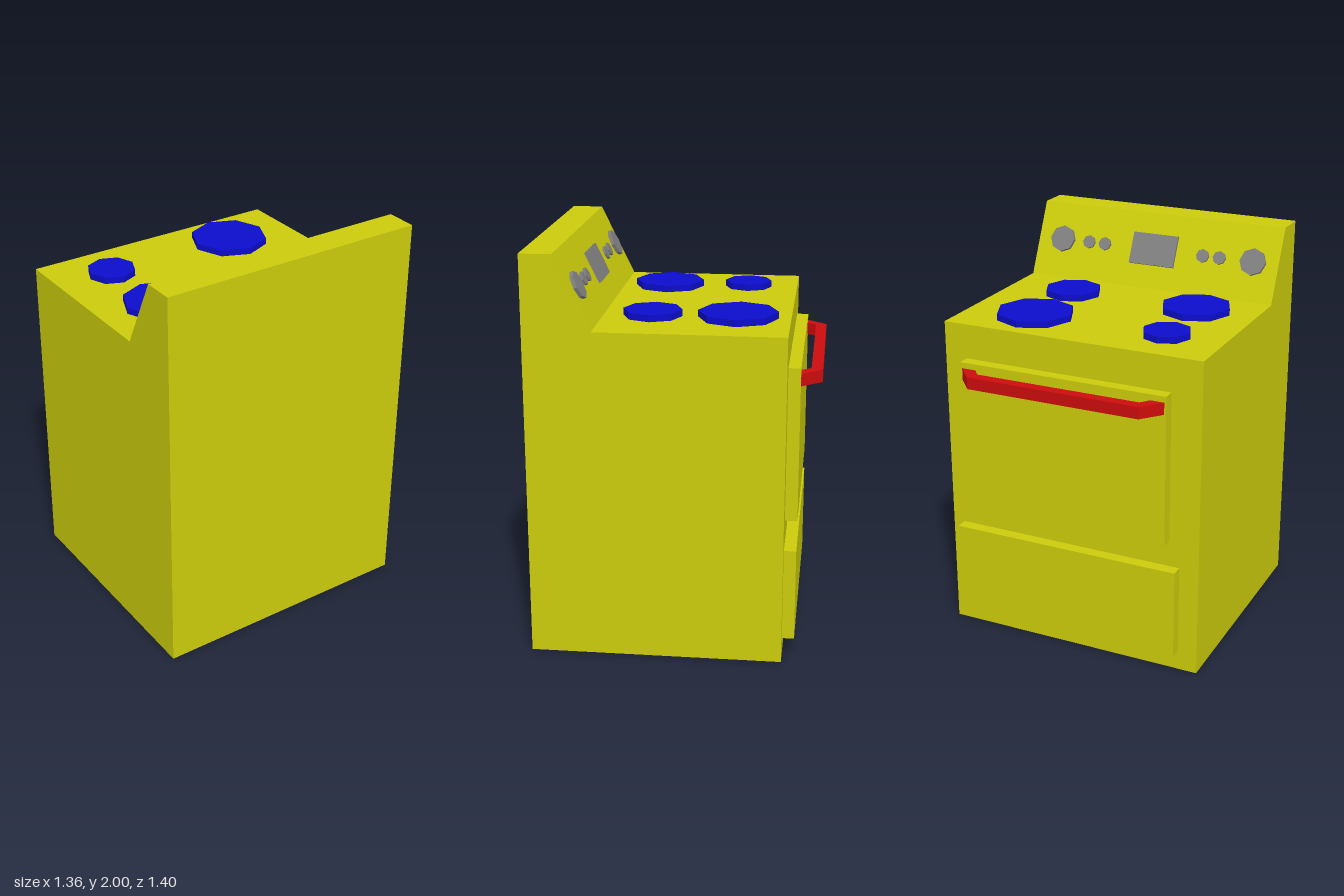
import * as THREE from 'three';

const paint = (color) => new THREE.MeshStandardMaterial({ color, flatShading: true });
const yellow = paint(0xcccc0c), red = paint(0xcc0c0c), blue = paint(0x0c0ccc), grey = paint(0x808080);

function add(parent, name, geometry, material, x = 0, y = 0, z = 0) {
  const mesh = new THREE.Mesh(geometry, material);
  mesh.name = name;
  mesh.position.set(x, y, z);
  parent.add(mesh);
  return mesh;
}

function extrude(points, depth) {
  const shape = new THREE.Shape(points.map(([a, b]) => new THREE.Vector2(a, b)));
  return new THREE.ExtrudeGeometry(shape, { depth, bevelEnabled: false });
}

const disc = (radius, height) => new THREE.CylinderGeometry(radius, radius, height, 8);

export function createModel() {
  const stove = new THREE.Group();
  stove.name = 'stove';

  // Body with sloping backsplash: side profile (z, y) swept across the width
  const body = extrude([[-0.54, 0], [0.7, 0], [0.7, 2], [0.545, 2], [0.37, 1.64], [-0.54, 1.64]], 1.36);
  body.translate(0, 0, -0.68).rotateY(-Math.PI / 2);
  add(stove, 'body', body, yellow);

  // Oven door and the wider drawer below it
  add(stove, 'ovenDoor', new THREE.BoxGeometry(1.09, 0.765, 0.06), yellow, 0.02, 1.0825, -0.57);
  add(stove, 'drawer', new THREE.BoxGeometry(1.2, 0.465, 0.06), yellow, 0.02, 0.3325, -0.57);

  // Door handle: plan outline (x, z) with slanted ends
  const handle = extrude([
    [-0.515, -0.6], [-0.43, -0.7], [0.47, -0.7], [0.555, -0.6],
    [0.48, -0.6], [0.445, -0.645], [-0.41, -0.645], [-0.445, -0.6],
  ], 0.06);
  handle.rotateX(Math.PI / 2);
  add(stove, 'doorHandle', handle, red, 0, 1.435, 0);

  // Burners: x, z, radius
  const burners = [[-0.39, -0.285, 0.12], [0.315, -0.285, 0.195], [-0.37, 0.13, 0.178], [0.315, 0.13, 0.145]];
  for (const [x, z, r] of burners) add(stove, 'burner', disc(r, 0.033), blue, x, 1.6565, z);

  // Control panel parts; local y points out of the slope
  const controls = new THREE.Group();
  controls.name = 'controls';
  controls.position.set(0, 1.825, 0.46);
  controls.rotation.x = -Math.atan2(0.36, 0.175);
  stove.add(controls);

  add(controls, 'display', new THREE.BoxGeometry(0.25, 0.014, 0.165), grey, 0.005, 0.007, 0);
  for (const x of [-0.545, 0.535]) add(controls, 'largeKnob', disc(0.07, 0.018), grey, x, 0.009, 0);
  for (const x of [-0.362, -0.27, 0.288, 0.38]) add(controls, 'smallKnob', disc(0.035, 0.012), grey, x, 0.006, 0);

  return stove;
}
